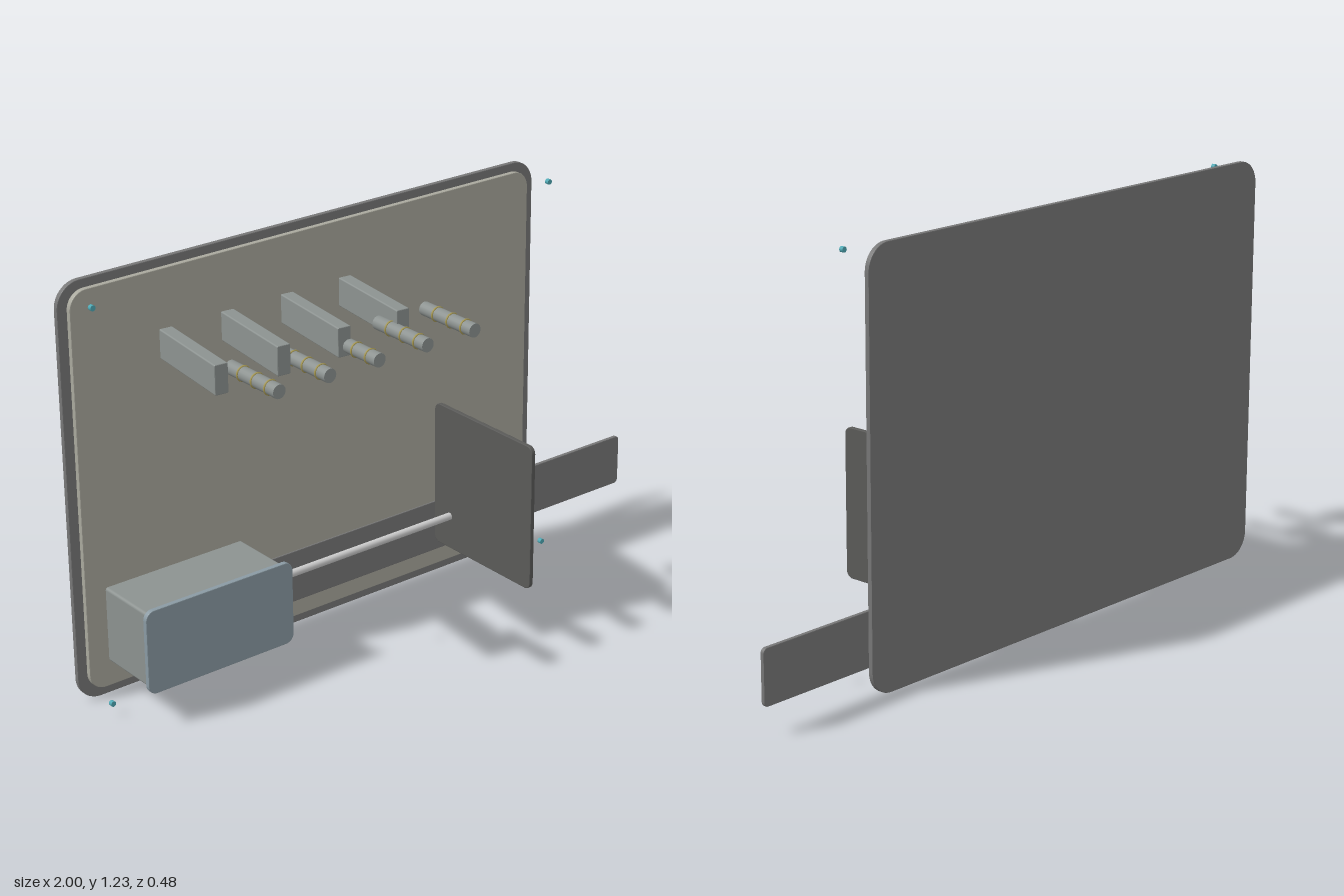
import * as THREE from 'three';

const paint = (color) => new THREE.MeshStandardMaterial({ color });

// Rounded rectangle slab facing +z, centred on its own origin
function slab(w, h, d, r, bevel = 0.002) {
  const x = w / 2 - bevel, y = h / 2 - bevel;
  const s = new THREE.Shape();
  s.moveTo(-x + r, -y);
  s.lineTo(x - r, -y);
  s.absarc(x - r, -y + r, r, -Math.PI / 2, 0);
  s.lineTo(x, y - r);
  s.absarc(x - r, y - r, r, 0, Math.PI / 2);
  s.lineTo(-x + r, y);
  s.absarc(-x + r, y - r, r, Math.PI / 2, Math.PI);
  s.lineTo(-x, -y + r);
  s.absarc(-x + r, -y + r, r, Math.PI, Math.PI * 1.5);
  const g = new THREE.ExtrudeGeometry(s, {
    depth: d - 2 * bevel, bevelEnabled: true, bevelSize: bevel,
    bevelThickness: bevel, bevelSegments: 2, curveSegments: 8,
  });
  return g.translate(0, 0, bevel - d / 2);
}

export function createModel() {
  const model = new THREE.Group();
  const add = (name, geometry, material, x, y, z, parent = model) => {
    const mesh = new THREE.Mesh(geometry, material);
    mesh.name = name;
    mesh.position.set(x, y, z);
    parent.add(mesh);
    return mesh;
  };

  const dark = paint(0x777777);
  const steel = paint(0x8c9290);
  const blue = paint(0x8a9aa3);

  // Backing board and raised face panel
  add('backBoard', slab(1.63, 1.225, 0.015, 0.07), dark, -0.185, 0.6125, -0.2325);
  add('facePanel', slab(1.57, 1.17, 0.016, 0.05), paint(0xaaa99e), -0.185, 0.615, -0.219);

  // Long strip running past the board
  add('slideStrip', slab(1.47, 0.16, 0.012, 0.012), dark, 0.265, 0.16, -0.213);

  // Drawer-like housing with its front cover and bottom pad
  add('housing', slab(0.455, 0.225, 0.195, 0.006), steel, -0.6825, 0.2225, -0.108);
  add('housingCover', slab(0.485, 0.25, 0.015, 0.025), blue, -0.6825, 0.225, 0.004);
  add('housingPad', new THREE.BoxGeometry(0.27, 0.012, 0.12), dark, -0.6825, 0.107, -0.13);

  // Rod and the upright plate it passes through
  const rod = new THREE.CylinderGeometry(0.011, 0.011, 0.745, 20).rotateZ(Math.PI / 2);
  add('rod', rod, paint(0xdddddd), -0.0825, 0.232, -0.115);
  const plate = slab(0.425, 0.447, 0.013, 0.02).rotateY(Math.PI / 2);
  add('uprightPlate', plate, paint(0x5a5a58), 0.238, 0.352, 0.028);

  // Slanted fins
  const fin = slab(0.04, 0.085, 0.298, 0.002);
  for (let i = 0; i < 4; i++) {
    add('fin', fin, steel, -0.705 + i * 0.2, 0.998, -0.045).rotation.y = -0.11;
  }

  // Ringed pegs
  const peg = new THREE.CylinderGeometry(0.02, 0.02, 0.212, 20).rotateX(Math.PI / 2);
  const ring = new THREE.TorusGeometry(0.02, 0.003, 8, 24);
  const brass = paint(0xa89a55);
  for (let i = 0; i < 5; i++) {
    const group = new THREE.Group();
    group.name = 'ringedPeg';
    group.position.set(-0.635 + i * 0.164, 0.983, 0.128);
    add('peg', peg, steel, 0, 0, 0, group);
    for (const z of [-0.05, 0.01, 0.068]) add('pegRing', ring, brass, 0, 0, z, group);
    model.add(group);
  }

  // Small corner studs
  const stud = new THREE.CylinderGeometry(0.008, 0.008, 0.012, 12).rotateX(Math.PI / 2);
  const teal = paint(0x4fa9b5);
  for (const x of [-0.965, 0.593]) {
    for (const y of [0.038, 1.19]) add('cornerStud', stud, teal, x, y, -0.112);
  }

  return model;
}
